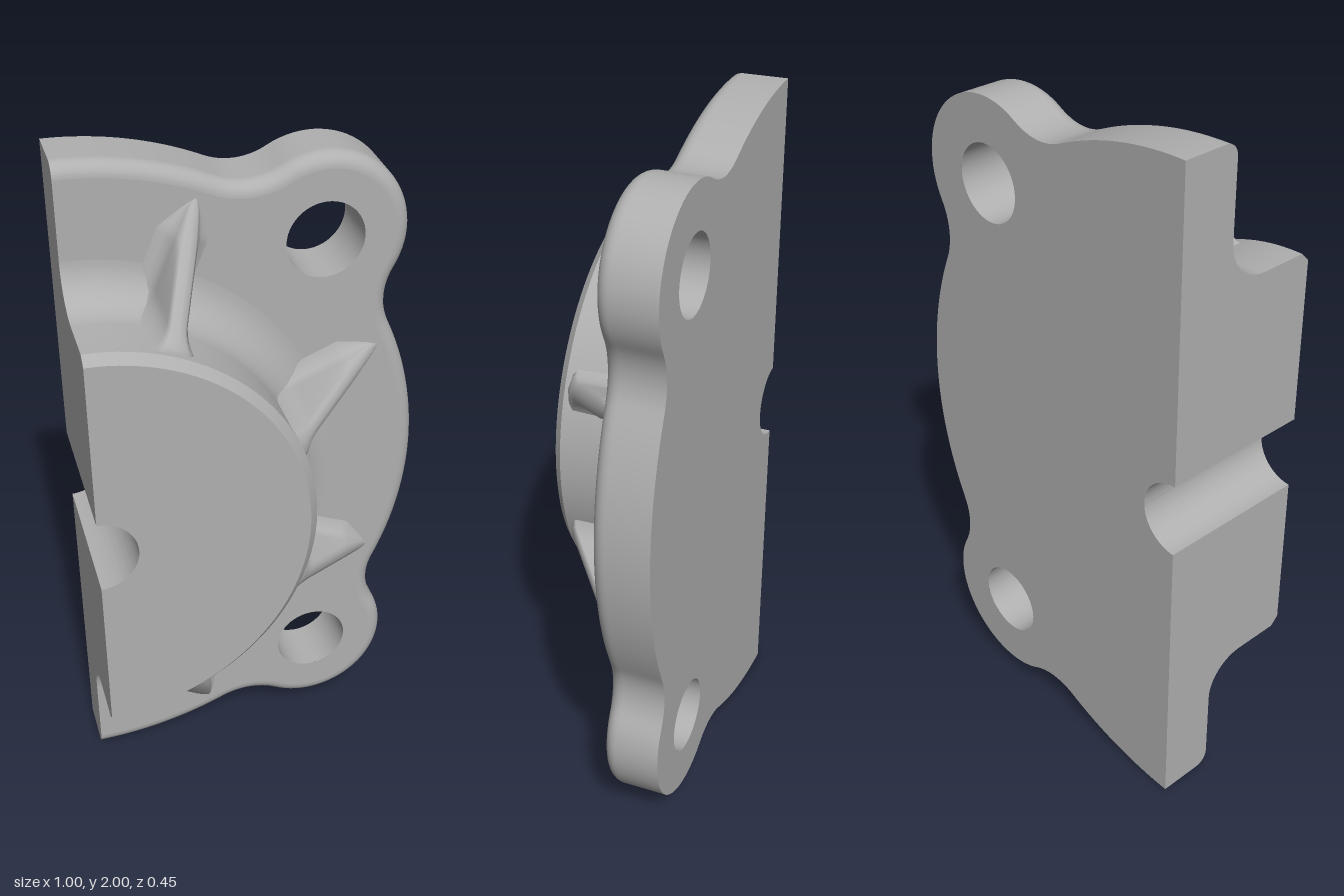
import * as THREE from 'three';
import { toCreasedNormals } from 'three/addons/utils/BufferGeometryUtils.js';

const BACK = -0.23, FACE = -0.06, HUB_TOP = 0.225;   // z levels
const BORE = 0.11, HUB = 0.62, ROUND = 0.04, FILLET = 0.12;
const LUG = 0.24, NECK = 0.19;                       // lug and concave neck radii
const lugs = [new THREE.Vector2(0.70, -0.71), new THREE.Vector2(0.71, 0.705)];

// Points of the flange rim, moved inwards by d (axis of the hub at the origin)
function outline(d) {
  const pts = [];
  const arc = (c, r, from, to, ccw, n) => {
    const full = Math.PI * 2;
    let sweep = (((to - from) % full) + full) % full;
    if (!ccw) sweep -= full;
    for (let i = pts.length ? 1 : 0; i <= n; i++) {
      const a = from + sweep * i / n;
      pts.push(new THREE.Vector2(c.x + r * Math.cos(a), c.y + r * Math.sin(a)));
    }
  };
  const toward = (p, q) => Math.atan2(q.y - p.y, q.x - p.x);
  const origin = new THREE.Vector2();
  let start = -Math.PI / 2;
  for (const lug of lugs) {
    const A = 1 + NECK, B = LUG + NECK, D = lug.length();
    const spread = Math.acos((A * A + D * D - B * B) / (2 * A * D));
    const mid = Math.atan2(lug.y, lug.x);
    const [n1, n2] = [mid - spread, mid + spread]
      .map(a => new THREE.Vector2(A * Math.cos(a), A * Math.sin(a)));
    arc(origin, 1 - d, start, mid - spread, true, 24);
    arc(n1, NECK + d, toward(n1, origin), toward(n1, lug), false, 12);
    arc(lug, LUG - d, toward(lug, n1), toward(lug, n2), true, 32);
    arc(n2, NECK + d, toward(n2, lug), toward(n2, origin), false, 12);
    start = mid + spread;
  }
  arc(origin, 1 - d, start, Math.PI / 2, true, 24);
  return pts;
}

// Smooth skin over rows of [x, y, z] points
function skin(rows) {
  const n = rows[0].length, index = [];
  for (let j = 0; j < rows.length - 1; j++) {
    for (let i = 0; i < n - 1; i++) {
      const a = j * n + i, b = a + 1, c = b + n, e = a + n;
      index.push(a, b, c, a, c, e);
    }
  }
  const geo = new THREE.BufferGeometry();
  geo.setAttribute('position', new THREE.Float32BufferAttribute(rows.flat(2), 3));
  geo.setIndex(index);
  geo.computeVertexNormals();
  return geo;
}

// Flat flange face with bore notch and bolt holes
function flangeFace(d, z, flip) {
  const shape = new THREE.Shape(outline(d));
  shape.lineTo(0, BORE);
  shape.absarc(0, 0, BORE, Math.PI / 2, -Math.PI / 2, true);
  shape.closePath();
  for (const l of lugs) {
    shape.holes.push(new THREE.Path().absarc(l.x, l.y, BORE, 0, Math.PI * 2, true));
  }
  const geo = new THREE.ShapeGeometry(shape, 24);
  if (flip) {
    geo.index.array.reverse();
    geo.attributes.normal.array.forEach((v, i, arr) => { arr[i] = -v; });
  }
  return geo.translate(0, 0, z);
}

// Turned surface about the z axis from [radius, z] points
function turned(profile, sweep) {
  const pts = profile.map(([r, z]) => new THREE.Vector2(r, z));
  const geo = new THREE.LatheGeometry(pts, 64, 0, sweep).rotateX(Math.PI / 2);
  return toCreasedNormals(geo, 0.5);
}

// Rib along +x: sloping crest, rounded top, blended foot, flared at the hub
function ribGeometry() {
  const half = [];
  const N = 24;
  const section = r => {
    const h = Math.max(0.0005, Math.min(0.19, FACE + (0.94 - r) * 0.8) - FACE);
    const k = Math.min(1, h / 0.08);
    const flare = 0.04 * Math.max(0, (0.68 - r) / 0.07) ** 2;
    const w = 0.03 * Math.sqrt(k) + flare;
    return [[w + 0.045 * k, 0], [w + 0.02 * k, 0.008 * k], [w + 0.007 * k, 0.022 * k],
      [w, 0.045 * k], [w * 0.93, h - 0.02 * k], [w * 0.65, h - 0.007 * k], [0, h]];
  };
  for (let j = 0; j < 7; j++) {
    const row = [];
    for (let i = 0; i <= N; i++) {
      const r = 0.605 + (0.94 - 0.605) * i / N;
      const [v, z] = section(r)[j];
      row.push([r, -v, FACE - 0.001 + z]);
    }
    half.push(row);
  }
  const other = half.slice(0, 6).reverse().map(row => row.map(([x, y, z]) => [x, -y, z]));
  return skin([...half, ...other]);
}

export function createModel() {
  const grey = new THREE.MeshStandardMaterial({ color: 0xb0b0b0 });
  grey.name = 'grey metal';
  const model = new THREE.Group();
  model.name = 'halfFlange';
  const add = (name, geo) => {
    const mesh = new THREE.Mesh(geo, grey);
    mesh.name = name;
    model.add(mesh);
    return mesh;
  };

  // Flange: rim with a rounded front edge, front and back faces
  const levels = [[0, BACK], [0, FACE - ROUND - 0.005]];
  const edge = [];
  for (let i = 0; i <= 8; i++) {
    const a = Math.PI / 2 * i / 8;
    edge.push([ROUND * (1 - Math.cos(a)), FACE - ROUND * (1 - Math.sin(a))]);
  }
  levels.push(...edge);
  add('flangeRim', skin(levels.map(([d, z]) => outline(d).map(p => [p.x, p.y, z]))));
  add('flangeFront', flangeFace(ROUND, FACE, false));
  add('flangeBack', flangeFace(0, BACK, true));

  // Bolt hole walls
  for (const l of lugs) {
    add('boltHole', turned([[BORE, FACE], [BORE, BACK]], Math.PI * 2)).position.set(l.x, l.y, 0);
  }

  // Hub with filleted foot, chamfered edge and central bore
  const hubSide = [];
  for (let i = 0; i <= 10; i++) {
    const a = Math.PI / 2 * i / 10;
    hubSide.push([HUB + FILLET * (1 - Math.sin(a)), FACE + FILLET * (1 - Math.cos(a))]);
  }
  hubSide.push([HUB, 0.2], [HUB - 0.025, HUB_TOP]);
  add('hub', turned([...hubSide, [BORE, HUB_TOP], [BORE, BACK]], Math.PI));

  // Flat cut face, above and below the bore
  const cut = [[BORE, BACK], [1, BACK], ...edge.map(([d, z]) => [1 - d, z]),
    ...hubSide, [BORE, HUB_TOP]];
  for (const s of [1, -1]) {
    const shape = new THREE.Shape(cut.map(([r, z]) => new THREE.Vector2(z, s * r)));
    add('cutFace', new THREE.ShapeGeometry(shape).rotateY(-Math.PI / 2));
  }

  // Four radial ribs
  const rib = ribGeometry();
  for (const deg of [-67.5, -22.5, 22.5, 67.5]) {
    add('rib', rib).rotation.z = THREE.MathUtils.degToRad(deg);
  }

  model.position.set(-0.5, 1, 0);
  const root = new THREE.Group();
  root.name = 'flangeModel';
  root.add(model);
  return root;
}
